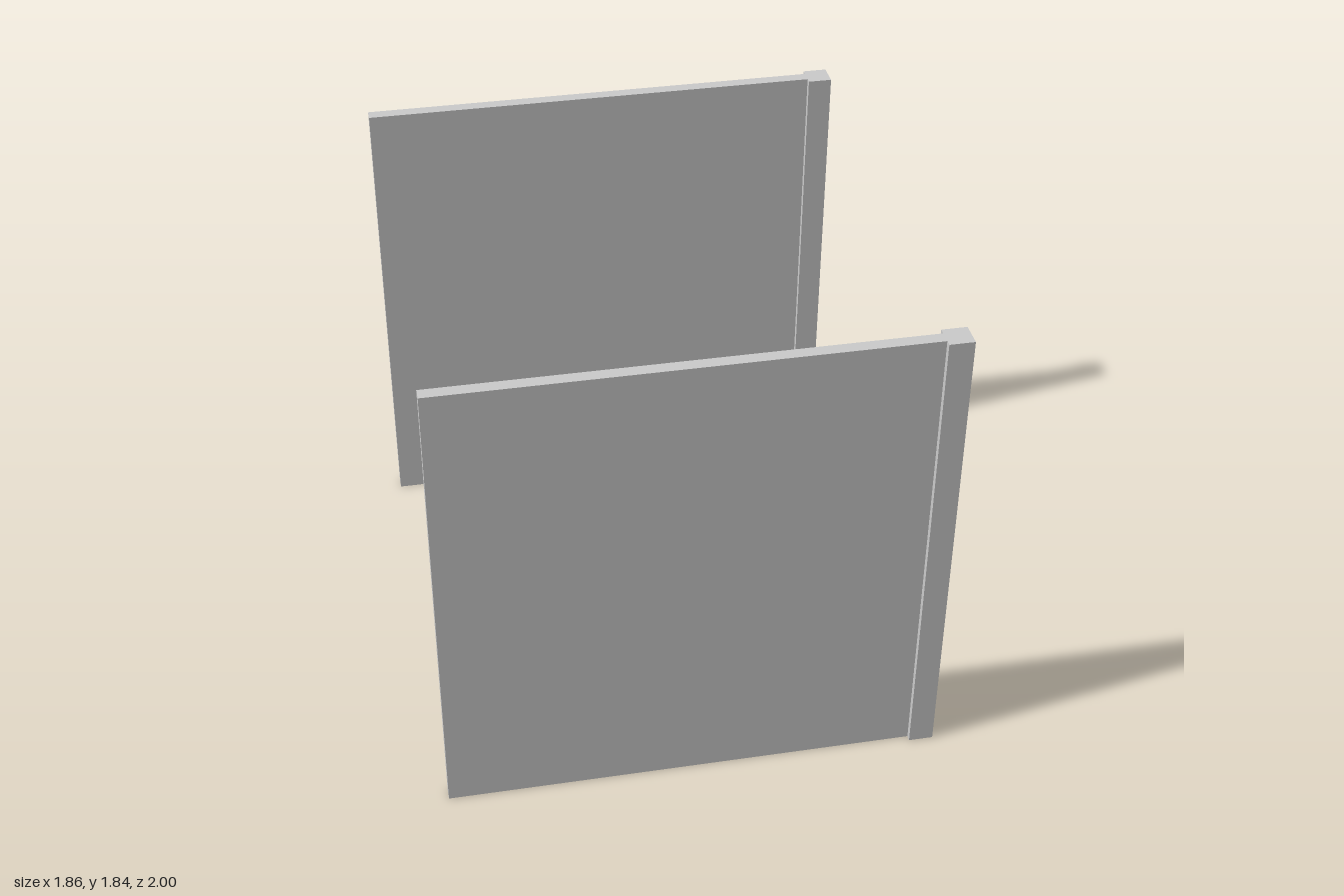
import * as THREE from 'three';

const HEIGHT = 1.837;
const HALF_WIDTH = 0.93;
const POST = 0.092; // square post side
const PANEL = 0.047; // panel thickness

export function createModel() {
  const model = new THREE.Group();
  const material = new THREE.MeshStandardMaterial({ color: 0xcccccc });

  // Upright slab spanning x0..x1, centred on its own z, standing on y = 0
  const addSlab = (parent, name, x0, x1, depth) => {
    const mesh = new THREE.Mesh(new THREE.BoxGeometry(x1 - x0, HEIGHT, depth), material);
    mesh.name = name;
    mesh.position.set((x0 + x1) / 2, HEIGHT / 2, 0);
    parent.add(mesh);
  };

  // Two parallel walls, each a thin panel ending in a square post on the +x side
  for (const side of [1, -1]) {
    const wall = new THREE.Group();
    wall.name = side > 0 ? 'frontWall' : 'backWall';
    wall.position.z = side * (1 - POST / 2);
    addSlab(wall, 'panel', -HALF_WIDTH, HALF_WIDTH - POST, PANEL);
    addSlab(wall, 'endPost', HALF_WIDTH - POST, HALF_WIDTH, POST);
    model.add(wall);
  }
  return model;
}
